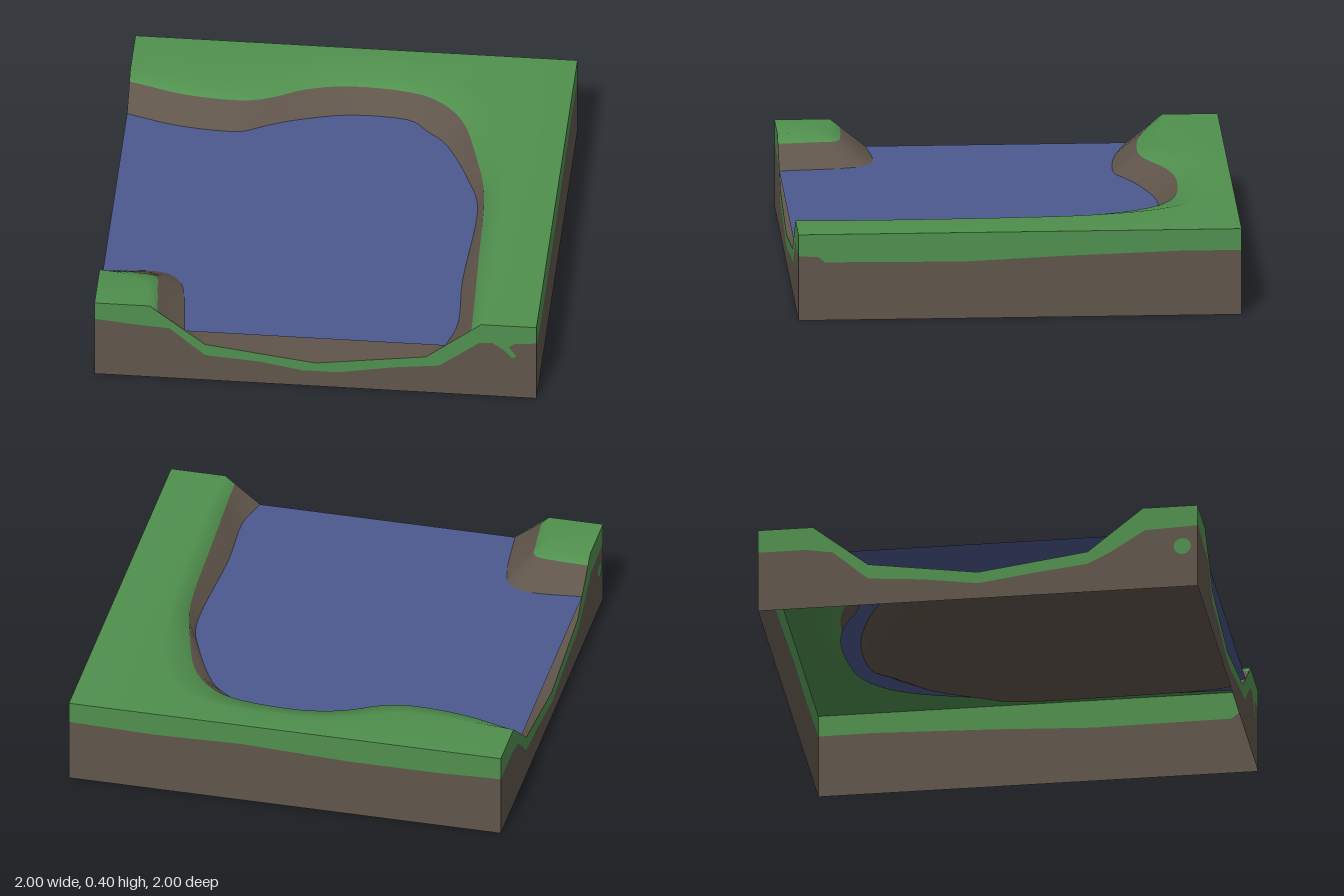
import * as THREE from 'three';

const STEPS = 52;
const WATER_Y = 0.27;

function material(name, color) {
  const m = new THREE.MeshStandardMaterial({ color, side: THREE.DoubleSide });
  m.name = name;
  return m;
}

// Row of points along a path of [x, z] pairs at height y; sharp rows keep their corners.
function row(y, pairs, sharp = false) {
  const pts = pairs.map(([x, z]) => new THREE.Vector3(x, y, z));
  const curve = new THREE.CatmullRomCurve3(pts, false, 'catmullrom', 0.5);
  const out = [];
  for (let j = 0; j <= STEPS; j++) {
    const t = j / STEPS;
    if (sharp) {
      const f = t * (pts.length - 1);
      const k = Math.min(Math.floor(f), pts.length - 2);
      out.push(pts[k].clone().lerp(pts[k + 1], f - k));
    } else out.push(curve.getPoint(t));
  }
  return out;
}

// Surface through successive rows; slots gives the material index of each strip.
function loft(rows, slots) {
  const g = new THREE.BufferGeometry().setFromPoints(rows.flat());
  const index = [];
  const n = STEPS + 1;
  for (let i = 0; i < rows.length - 1; i++) {
    const start = index.length;
    for (let j = 0; j < STEPS; j++) {
      const a = i * n + j, b = a + n;
      index.push(a, b, a + 1, a + 1, b, b + 1);
    }
    g.addGroup(start, index.length - start, slots[i]);
  }
  g.setIndex(index);
  g.computeVertexNormals();
  return g;
}

export function createModel() {
  const grass = material('grass green', 0x50904e);
  const soil = material('soil brown', 0x60554b);
  const water = material('water blue', 0x4c598f);
  const model = new THREE.Group();
  model.name = 'lakeTile';

  const add = (name, geometry, mat, parent = model) => {
    const mesh = new THREE.Mesh(geometry, mat);
    mesh.name = name;
    parent.add(mesh);
    return mesh;
  };

  // Contours of the long bank, from the left opening round to the front opening
  const outer = [[-1, -1], [-0.75, -1], [-0.5, -1], [-0.33, -1], [-0.1, -1], [0.2, -1], [0.6, -1],
    [1, -1], [1, -0.65], [1, -0.3], [1, 0], [1, 0.4], [1, 0.75], [1, 1]];
  const crest = [[-1, -0.75], [-0.75, -0.73], [-0.5, -0.73], [-0.35, -0.78], [-0.2, -0.84], [0, -0.87],
    [0.3, -0.86], [0.53, -0.78], [0.66, -0.6], [0.73, -0.3], [0.75, 0], [0.76, 0.4], [0.76, 0.75], [0.75, 1]];
  const grassLine = [[-1, -0.705], [-0.74, -0.63], [-0.5, -0.61], [-0.36, -0.64], [-0.2, -0.72], [0, -0.76],
    [0.27, -0.74], [0.42, -0.67], [0.53, -0.53], [0.61, -0.28], [0.67, 0], [0.69, 0.5], [0.7, 0.8], [0.705, 1]];
  const shore = [[-1, -0.588], [-0.76, -0.52], [-0.5, -0.5], [-0.38, -0.55], [-0.24, -0.61], [0, -0.67],
    [0.26, -0.66], [0.36, -0.58], [0.46, -0.48], [0.58, -0.23], [0.64, 0], [0.62, 0.5], [0.63, 0.82], [0.588, 1]];
  const foot = [[-1, -0.5], [-0.76, -0.42], [-0.5, -0.4], [-0.37, -0.45], [-0.22, -0.51], [0, -0.56],
    [0.2, -0.55], [0.29, -0.48], [0.38, -0.39], [0.49, -0.18], [0.55, 0], [0.55, 0.5], [0.54, 0.82], [0.5, 1]];

  // Deepest line of the bed, then the contours of the small corner hill
  const channel = [[-1, 0], [-0.6, 0], [-0.25, 0.05], [-0.05, 0.25], [0, 0.6], [0, 1]];
  const hillFoot = [[-1, 0.5], [-0.72, 0.48], [-0.58, 0.55], [-0.51, 0.72], [-0.5, 1]];
  const hillShore = [[-1, 0.588], [-0.76, 0.57], [-0.66, 0.62], [-0.62, 0.73], [-0.592, 1]];
  const hillGrassLine = [[-1, 0.705], [-0.86, 0.71], [-0.75, 0.73], [-0.73, 0.83], [-0.715, 1]];
  const hillCrest = [[-1, 0.75], [-0.88, 0.77], [-0.8, 0.82], [-0.76, 0.9], [-0.75, 1]];
  const hillCorner = [[-1, 1], [-1, 1]];

  add('terrain', loft([
    row(0.4, outer, true), row(0.4, crest), row(0.364, grassLine), row(WATER_Y, shore), row(0.2, foot),
    row(0.13, channel),
    row(0.2, hillFoot), row(WATER_Y, hillShore), row(0.364, hillGrassLine), row(0.4, hillCrest),
    row(0.4, hillCorner, true),
  ], [0, 0, 1, 1, 1, 1, 1, 1, 0, 0]), [grass, soil]);

  // Water sheet, tucked slightly under the banks
  add('water', loft([row(WATER_Y, grassLine), row(WATER_Y, hillGrassLine)], [0]), [water]);

  // Side walls: soil below a wavy line, a turf band from there up to the rim
  const flat = [[-1, 0.4], [1, 0.4]];
  const opening = [[-1, 0.4], [-0.75, 0.4], [-0.5, 0.2], [0, 0.13], [0.5, 0.2], [0.75, 0.4], [1, 0.4]];
  const walls = [
    { name: 'frontWall', turn: 0, rim: opening, line: [[-1, 0.31], [-0.8, 0.29], [-0.66, 0.28], [-0.5, 0.14],
      [-0.25, 0.12], [-0.06, 0.085], [0.1, 0.085], [0.35, 0.13], [0.56, 0.155], [0.74, 0.295], [0.8, 0.3],
      [0.85, 0.265], [0.89, 0.22], [0.91, 0.23], [0.875, 0.28], [0.9, 0.3], [1, 0.31]] },
    { name: 'rightWall', turn: Math.PI / 2, rim: flat, line: [[-1, 0.3], [-0.91, 0.295], [-0.88, 0.27],
      [-0.25, 0.265], [0.2, 0.285], [0.75, 0.302], [1, 0.3]] },
    { name: 'backWall', turn: Math.PI, rim: flat, line: [[-1, 0.3], [-0.6, 0.29], [-0.2, 0.3], [0.3, 0.28],
      [0.7, 0.28], [1, 0.29]] },
    { name: 'leftWall', turn: -Math.PI / 2, rim: opening, line: [[-1, 0.29], [-0.78, 0.29], [-0.66, 0.27],
      [-0.5, 0.13], [-0.25, 0.11], [0, 0.075], [0.25, 0.11], [0.5, 0.14], [0.6, 0.19], [0.76, 0.29], [1, 0.3]] },
  ];
  const polygon = (pairs) => new THREE.ShapeGeometry(new THREE.Shape(pairs.map(([u, y]) => new THREE.Vector2(u, y))));
  for (const { name, turn, rim, line } of walls) {
    const wall = new THREE.Group();
    wall.name = name;
    wall.rotation.y = turn;
    add('soilFace', polygon([[-1, 0], [1, 0], ...[...line].reverse()]), soil, wall).position.z = 1;
    add('turfBand', polygon([...line, ...[...rim].reverse()]), grass, wall).position.z = 1;
    model.add(wall);
  }

  // Small turf patch on the left wall near the front corner
  const patch = add('turfPatch', new THREE.CircleGeometry(0.04, 12), grass);
  patch.rotation.y = -Math.PI / 2;
  patch.position.set(-1.002, 0.2, 0.93);

  return model;
}
